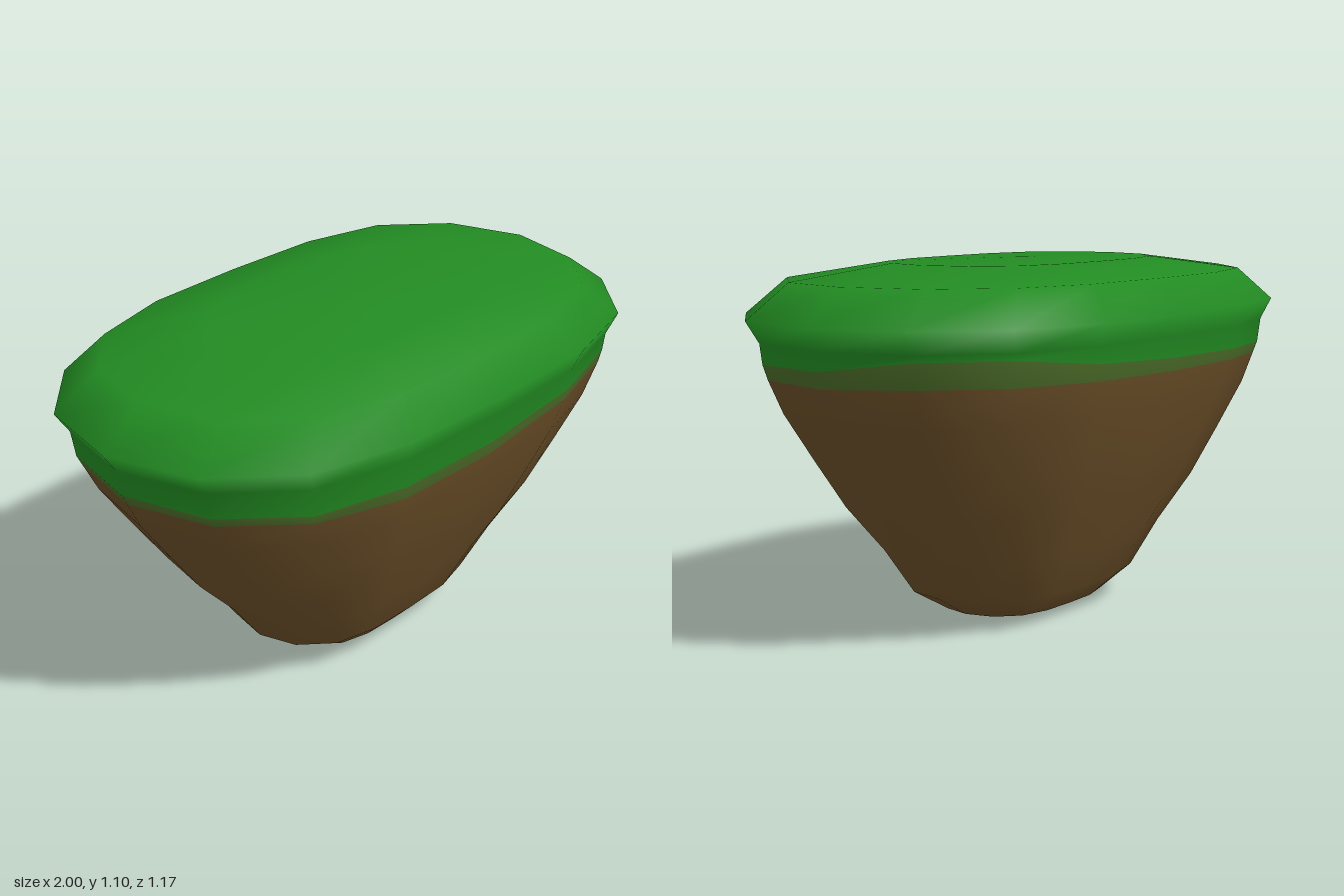
import * as THREE from 'three';

const SIDES = 16;

// Quarter of the rounded-rectangle outline, mirrored to a full loop
const QUARTER = [[1, 0], [0.925, 0.49], [0.715, 0.84], [0.4, 0.98], [0, 1]];

// Height, half width, half depth from the foot to the crown
const PROFILE = [
  [0, 0, 0], [0.005, 0.17, 0.09], [0.026, 0.3, 0.18], [0.098, 0.43, 0.25],
  [0.24, 0.535, 0.317], [0.385, 0.67, 0.395], [0.53, 0.775, 0.455], [0.68, 0.88, 0.515],
  [0.81, 0.945, 0.55], [0.885, 0.955, 0.558], [0.95, 1, 0.583],
  [1.052, 0.855, 0.5], [1.095, 0.5, 0.287], [1.1, 0, 0],
];

// Wavy lower and upper edge of the fringe, around the loop from +x through +z
const FRINGE_LOW = [0.78, 0.78, 0.79, 0.785, 0.745, 0.745, 0.765, 0.77, 0.77, 0.77, 0.775, 0.78, 0.78, 0.785, 0.79, 0.79];
const FRINGE_HIGH = [0.83, 0.825, 0.83, 0.82, 0.79, 0.79, 0.795, 0.8, 0.805, 0.805, 0.81, 0.815, 0.82, 0.835, 0.865, 0.865];

function outline(i) {
  const q = Math.floor(i / 4), k = i % 4;
  const [x, z] = QUARTER[q % 2 ? 4 - k : k];
  return [q === 1 || q === 2 ? -x : x, q >= 2 ? -z : z];
}

// Half width and half depth at any height
function sizeAt(y) {
  const n = Math.max(1, PROFILE.findIndex((p) => p[0] >= y));
  const a = PROFILE[n - 1], b = PROFILE[n];
  const t = (y - a[0]) / (b[0] - a[0]);
  return [a[1] + (b[1] - a[1]) * t, a[2] + (b[2] - a[2]) * t];
}

export function createModel() {
  const island = new THREE.Group();
  island.name = 'floatingIsland';

  // Each ring gives its height as a function of the side index
  const rings = [
    ...PROFILE.slice(0, 8).map((p) => () => p[0]),
    (i) => FRINGE_LOW[i],
    (i) => FRINGE_HIGH[i],
    ...PROFILE.slice(9).map((p) => () => p[0]),
  ];

  const positions = [];
  for (const ring of rings) {
    for (let i = 0; i < SIDES; i++) {
      const y = ring(i), [hx, hz] = sizeAt(y), [x, z] = outline(i);
      positions.push(x * hx, y, z * hz);
    }
  }

  function bandIndex(from, to) {
    const index = [];
    for (let r = from; r < to; r++) {
      for (let i = 0; i < SIDES; i++) {
        const j = (i + 1) % SIDES;
        const a = r * SIDES + i, b = r * SIDES + j;
        const c = a + SIDES, d = b + SIDES;
        if (r > 0) index.push(a, c, b);
        if (r < rings.length - 2) index.push(b, c, d);
        else if (r === 0) index.push(b, c, d);
      }
    }
    return index;
  }

  // Smooth normals are shared by all bands so no seam shows between colours
  const body = new THREE.BufferGeometry();
  body.setAttribute('position', new THREE.Float32BufferAttribute(positions, 3));
  body.setIndex(bandIndex(0, rings.length - 1));
  body.computeVertexNormals();

  function addBand(name, materialName, color, from, to) {
    const geometry = new THREE.BufferGeometry();
    geometry.setAttribute('position', body.getAttribute('position'));
    geometry.setAttribute('normal', body.getAttribute('normal'));
    geometry.setIndex(bandIndex(from, to));
    const material = new THREE.MeshStandardMaterial({ color });
    material.name = materialName;
    const mesh = new THREE.Mesh(geometry, material);
    mesh.name = name;
    island.add(mesh);
  }

  addBand('soilBase', 'earthBrown', 0x6b4f28, 0, 8);
  addBand('mossFringe', 'mossGreen', 0x4a6a28, 8, 9);
  addBand('grassCap', 'grassGreen', 0x228b22, 9, rings.length - 1);

  return island;
}
